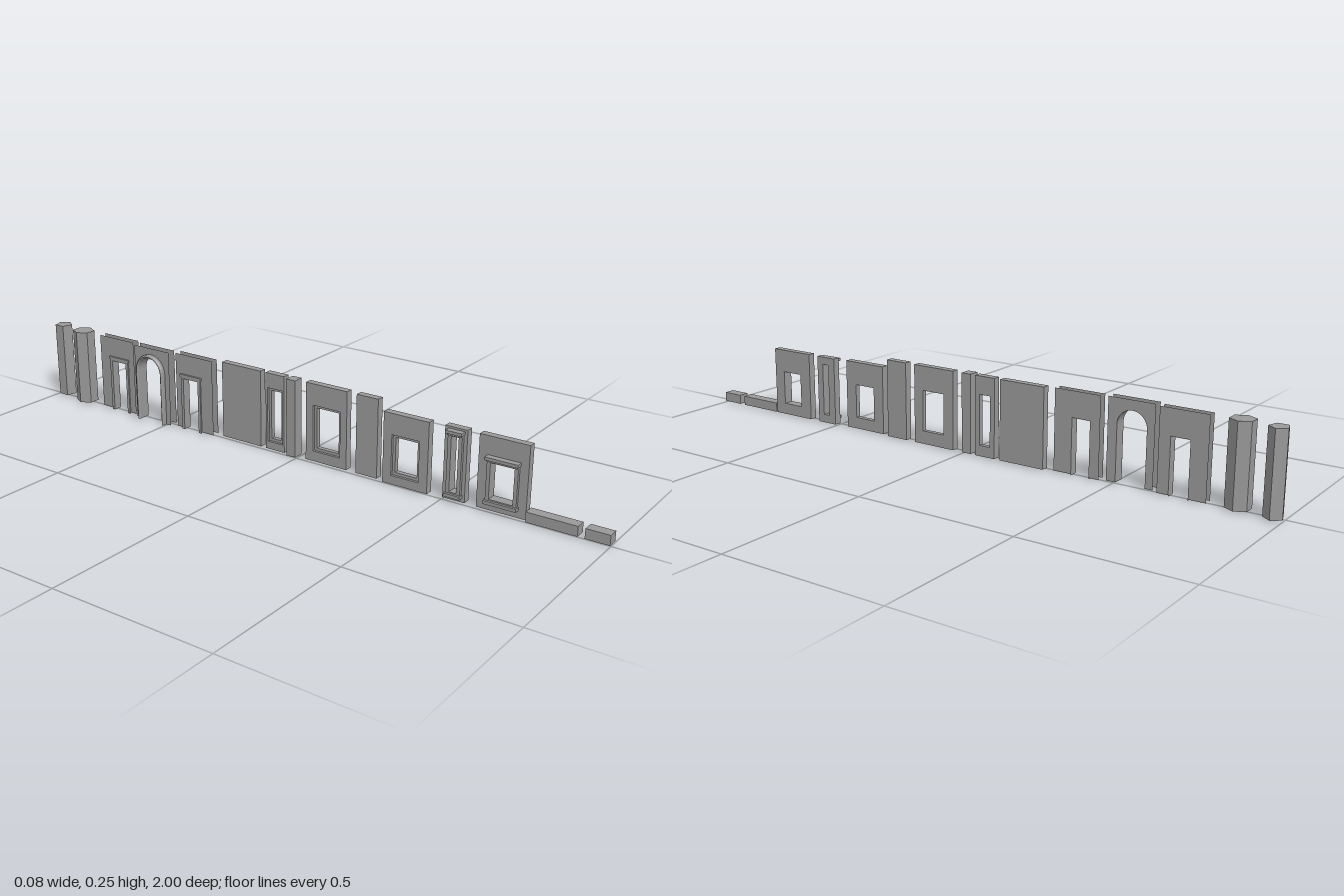
import * as THREE from 'three';

const BASE = 0.004;
const mat = new THREE.MeshStandardMaterial({ color: 0x999999, flatShading: true, side: THREE.DoubleSide });

export function createModel() {
  const root = new THREE.Group();

  const add = (name, geo) => {
    const mesh = new THREE.Mesh(geo, mat);
    mesh.name = name;
    root.add(mesh);
    return mesh;
  };

  // Box given by its limits
  const block = (name, x0, x1, y0, y1, z0, z1) => {
    add(name, new THREE.BoxGeometry(x1 - x0, y1 - y0, z1 - z0))
      .position.set((x0 + x1) / 2, (y0 + y1) / 2, (z0 + z1) / 2);
  };

  // Rectangle outline in (-z, y)
  const rect = (T, z0, z1, y0, y1) => {
    const p = new T();
    p.moveTo(-z1, y0); p.lineTo(-z0, y0); p.lineTo(-z0, y1); p.lineTo(-z1, y1); p.closePath();
    return p;
  };
  const holed = (outer, hole) => {
    const s = rect(THREE.Shape, ...outer);
    s.holes.push(rect(THREE.Path, ...hole));
    return s;
  };

  // Outline of a wall with an opening down to the floor
  const gate = (z0, z1, y0, y1, o) => {
    const s = new THREE.Shape();
    s.moveTo(-z1, y0); s.lineTo(-z1, y1); s.lineTo(-z0, y1); s.lineTo(-z0, y0);
    s.lineTo(o.half - o.z, y0);
    if (o.arch) s.absarc(-o.z, o.top, o.half, 0, Math.PI, false);
    else { s.lineTo(o.half - o.z, o.top); s.lineTo(-o.half - o.z, o.top); }
    s.lineTo(-o.half - o.z, y0);
    s.closePath();
    return s;
  };

  // Shape in (-z, y) pushed from x0 to x1
  const slab = (name, shape, x0, x1) => {
    const g = new THREE.ExtrudeGeometry(shape, { depth: x1 - x0, bevelEnabled: false });
    g.rotateY(Math.PI / 2);
    g.translate(x0, 0, 0);
    add(name, g);
  };

  // Sheet without thickness
  const sheet = (name, shape, x) => {
    const g = new THREE.ShapeGeometry(shape, 16);
    g.rotateY(Math.PI / 2);
    g.translate(x, 0, 0);
    add(name, g);
  };

  // Profile of [x, distance outward] points carried around an opening
  const sweep = (name, o, profile, y0 = 0) => {
    const pathAt = (d) => {
      const r = o.half + d;
      if (!o.arch) return [[r, y0], [r, o.top + d], [-r, o.top + d], [-r, y0]];
      const pts = [[r, y0]];
      for (let i = 0; i <= 16; i++) {
        const a = Math.PI * i / 16;
        pts.push([r * Math.cos(a), o.top + r * Math.sin(a)]);
      }
      return [...pts, [-r, y0]];
    };
    const pos = [], idx = [];
    const paths = profile.map(([x, d]) => {
      const path = pathAt(d);
      path.forEach(([u, y]) => pos.push(x, y, o.z - u));
      return path;
    });
    const n = paths[0].length;
    for (let k = 0; k < profile.length - 1; k++) {
      for (let i = 0; i < n - 1; i++) {
        const a = k * n + i, b = a + n;
        idx.push(a, b, a + 1, b, b + 1, a + 1);
      }
    }
    const g = new THREE.BufferGeometry();
    g.setAttribute('position', new THREE.Float32BufferAttribute(pos, 3));
    g.setIndex(idx);
    g.computeVertexNormals();
    add(name, g);
  };

  // Low base pieces
  block('shortBase', -0.006, 0.028, BASE, 0.034, 0.93, 1.0);
  block('longBase', -0.006, 0.028, BASE, 0.034, 0.76, 0.91);

  // Plain wall pieces
  block('plainPier', 0.005, 0.028, BASE, 0.248, 0.21, 0.283);
  block('narrowPier', -0.006, 0.028, BASE, 0.248, -0.032, 0);
  block('plainWall', 0.005, 0.028, BASE, 0.248, -0.285, -0.136);

  // Window walls with a framed, hooded outside
  const framed = (name, z0, z1, h) => {
    slab(name, holed([z0, z1, BASE, 0.22], h), 0.005, 0.028);
    const [a, b, lo, hi] = h, t = 0.011;
    slab(name + 'Frame', holed([a - t, b + t, lo - t, hi + t], h), -0.004, 0.005);
    block(name + 'Hood', -0.015, 0.005, hi + t - 0.002, hi + t + 0.007, a - t - 0.003, b + t + 0.003);
    block(name + 'HoodMoulding', -0.009, 0.005, hi + t - 0.008, hi + t - 0.002, a - t, b + t);
    block(name + 'Sill', -0.012, 0.005, lo - t - 0.003, lo - 0.004, a - t - 0.003, b + t + 0.003);
  };
  framed('framedWindowWall', 0.606, 0.756, [0.647, 0.719, 0.04, 0.147]);
  framed('framedSlitWall', 0.5, 0.57, [0.525, 0.548, 0.03, 0.196]);

  // Window walls with an opening that steps wider on the outside
  const stepped = (name, x0, x1, top, z0, z1, h) => {
    const t = 0.009, xm = x0 + 0.008;
    slab(name, holed([z0, z1, BASE, top], h), xm, x1);
    slab(name + 'Rebate', holed([z0, z1, BASE, top], [h[0] - t, h[1] + t, h[2] - t, h[3] + t]), x0, xm);
  };
  stepped('lowWindowWall', -0.004, 0.02, 0.22, 0.308, 0.455, [0.345, 0.417, 0.04, 0.147]);
  stepped('tallWindowWall', 0.005, 0.028, 0.248, 0.032, 0.177, [0.067, 0.145, 0.045, 0.172]);
  stepped('slitWindowWall', 0.005, 0.028, 0.248, -0.117, -0.048, [-0.101, -0.064, 0.037, 0.192]);

  // Door walls: two thin skins, a lined opening and an outside surround
  const doorWall = (name, z0, z1, z) => {
    const o = { z, half: 0.029, top: 0.17 };
    sheet(name + 'Inside', gate(z0, z1, BASE, 0.248, o), 0.014);
    sheet(name + 'Outside', gate(z0, z1, BASE, 0.248, o), -0.01);
    sweep(name + 'Lining', o, [[-0.01, 0], [0.014, 0]]);
    sweep(name + 'Surround', o, [[-0.01, 0.01], [-0.014, 0.01], [-0.014, 0], [-0.01, 0]]);
    block(name + 'Hood', -0.016, -0.01, 0.176, 0.184, z - 0.042, z + 0.042);
  };
  doorWall('firstDoorWall', -0.46, -0.313, -0.399);
  doorWall('secondDoorWall', -0.786, -0.64, -0.704);

  // Arched wall with a rounded surround
  const arch = { z: -0.553, half: 0.046, top: 0.172, arch: true };
  sheet('archWallInside', gate(-0.623, -0.478, BASE, 0.248, arch), 0.004);
  sheet('archWallOutside', gate(-0.623, -0.478, BASE, 0.248, arch), -0.023);
  sweep('archLining', arch, [[-0.023, 0], [0.004, 0]], BASE);
  sweep('archSurround', arch,
    [[-0.023, 0.01], [-0.033, 0.01], [-0.037, 0.008], [-0.039, 0.005], [-0.037, 0.002], [-0.033, 0], [-0.023, 0]], BASE);

  // Free-standing columns, open underneath
  const column = (name, sides, r, x, z, stretch) => {
    const h = 0.248 - BASE;
    const g = new THREE.CylinderGeometry(r, r, h, sides, 1, true, Math.PI / 2);
    g.scale(1, 1, stretch);
    add(name, g).position.set(x, BASE + h / 2, z);
    const cap = new THREE.CircleGeometry(r, sides);
    cap.rotateX(-Math.PI / 2);
    cap.scale(1, 1, stretch);
    add(name + 'Top', cap).position.set(x, 0.248, z);
  };
  column('hexagonalColumn', 6, 0.034, -0.004, -0.868, 1.09);
  column('pentagonalColumn', 5, 0.029, 0.009, -0.972, 1);

  return root;
}
